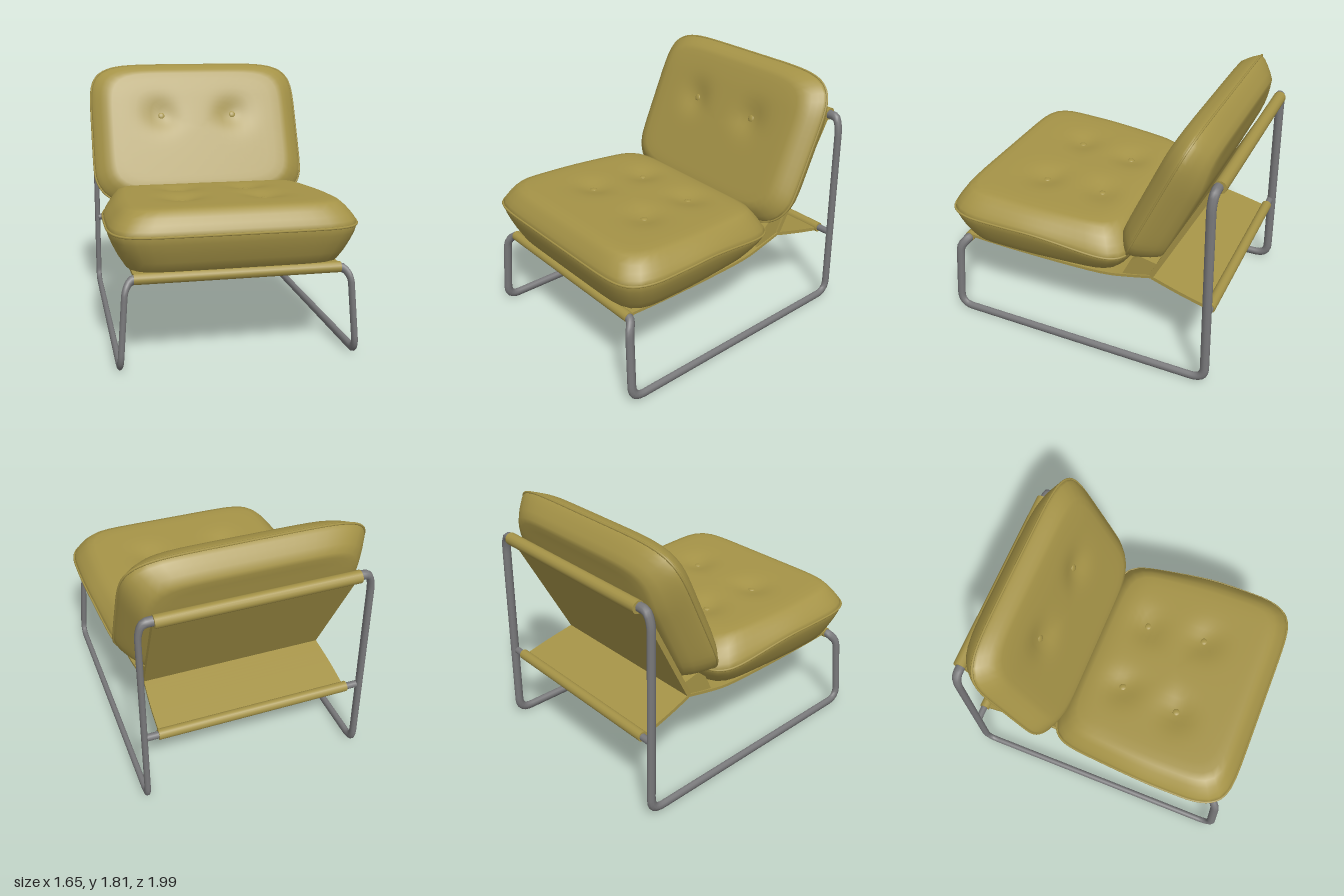
import * as THREE from 'three';

const V = (x, y, z) => new THREE.Vector3(x, y, z);

// Polyline with rounded corners
function roundedPath(pts, radius) {
  const path = new THREE.CurvePath();
  let from = pts[0];
  for (let i = 1; i < pts.length - 1; i++) {
    const p = pts[i];
    const before = pts[i - 1].clone().sub(p), after = pts[i + 1].clone().sub(p);
    const r = Math.min(radius, before.length() * 0.45, after.length() * 0.45);
    const a = p.clone().add(before.setLength(r)), b = p.clone().add(after.setLength(r));
    path.add(new THREE.LineCurve3(from, a));
    path.add(new THREE.QuadraticBezierCurve3(a, p, b));
    from = b;
  }
  path.add(new THREE.LineCurve3(from, pts[pts.length - 1]));
  return path;
}

// Tube flattened across x, so uprights and rails are oval
function ovalTube(path, segments, radius, flat) {
  const sides = 10;
  const geo = new THREE.TubeGeometry(path, segments, radius, sides);
  const pos = geo.attributes.position;
  for (let i = 0; i <= segments; i++) {
    const c = path.getPointAt(i / segments);
    for (let j = 0; j <= sides; j++) {
      const k = i * (sides + 1) + j;
      pos.setX(k, c.x + (pos.getX(k) - c.x) * flat);
    }
  }
  return geo;
}

// Sheet of cloth swept through [halfWidth, y, z] points
function clothSheet(points, thick) {
  const n = 16;
  const curve = new THREE.CatmullRomCurve3(points.map(p => V(...p)));
  const geo = new THREE.BoxGeometry(2, thick, 1, 1, 1, n);
  const pos = geo.attributes.position;
  for (let i = 0; i < pos.count; i++) {
    const t = THREE.MathUtils.clamp(0.5 - pos.getZ(i), 0, 1);
    const p = curve.getPoint(t), d = curve.getTangent(t);
    const len = Math.hypot(d.y, d.z), h = pos.getY(i);
    pos.setXYZ(i, pos.getX(i) * p.x, p.y - h * d.z / len, p.z + h * d.y / len);
  }
  geo.computeVertexNormals();
  return geo;
}

// Pillow made of rings shrinking from the seam to the middle of each face.
// Local axes: u across, v along, h outward; place() maps them to the model.
function cushion({ v0, v1, width, seam, top, bottom, tufts, place, exponent }) {
  const N = 80;
  const scales = [1, 0.985, 0.955, 0.915, 0.865, 0.81, 0.73, 0.66, 0.59, 0.52, 0.45, 0.38, 0.31, 0.24, 0.17, 0.1, 0.03];
  const rise = [0, 0.2, 0.42, 0.67, 0.92, 0.985, 1];
  const mid = (v0 + v1) / 2, half = (v1 - v0) / 2;
  const point = (j, s, f, face) => {
    const a = j / N * Math.PI * 2, c = Math.cos(a), d = Math.sin(a);
    const k = s / Math.pow(Math.abs(c) ** exponent + Math.abs(d) ** exponent, 1 / exponent);
    const v = mid + half * d * k, u = width(v) * c * k;
    let h = seam(v) + f * (face(v) - seam(v));
    if (face === top) {
      for (const [tu, tv] of tufts) {
        const r = Math.hypot(u - tu, v - tv);
        h -= 0.035 * Math.exp(-r * r / 0.014);
      }
    }
    return place(u, v, h);
  };
  const verts = [], index = [];
  // Rings run from the middle of the top, over the seam, to the middle of the bottom
  const rings = [];
  for (let i = scales.length - 1; i >= 0; i--) rings.push([scales[i], rise[i] ?? 1, top]);
  for (let i = 1; i < scales.length; i++) rings.push([scales[i], rise[i] ?? 1, bottom]);
  for (const [s, f, face] of rings)
    for (let j = 0; j < N; j++) verts.push(...point(j, s, f, face).toArray());
  for (let i = 0; i < rings.length - 1; i++)
    for (let j = 0; j < N; j++) {
      const k = (j + 1) % N, a = i * N + j, b = i * N + k, c = a + N, d = b + N;
      index.push(a, c, b, b, c, d);
    }
  const last = (rings.length - 1) * N;
  for (let j = 1; j < N - 1; j++) {
    index.push(0, j, j + 1);
    index.push(last, last + j + 1, last + j);
  }
  const body = new THREE.BufferGeometry();
  body.setAttribute('position', new THREE.Float32BufferAttribute(verts, 3));
  body.setIndex(index);
  body.computeVertexNormals();
  const edge = [];
  for (let j = 0; j < N; j++) edge.push(point(j, 1, 0, bottom));
  const piping = new THREE.TubeGeometry(new THREE.CatmullRomCurve3(edge, true), 160, 0.008, 6, true);
  const buttons = tufts.map(([u, v]) => place(u, v, top(v) - 0.035));
  return { body, piping, buttons };
}

export function createModel() {
  const model = new THREE.Group();
  model.name = 'loungeChair';
  const fabric = new THREE.MeshStandardMaterial({ color: 0xa59347 });
  fabric.name = 'olive fabric';
  const metal = new THREE.MeshStandardMaterial({ color: 0x78787a });
  metal.name = 'grey metal';
  const add = (name, geo, mat, parent = model) => {
    const mesh = new THREE.Mesh(geo, mat);
    mesh.name = name;
    parent.add(mesh);
    return mesh;
  };

  // Bent tube frame, one half per side
  for (const [side, s] of [['left', 1], ['right', -1]]) {
    const path = roundedPath([
      V(0, 0.6, 0.885), V(s * 0.69, 0.6, 0.885), V(s * 0.73, 0.54, 0.93), V(s * 0.768, 0.042, 0.952),
      V(s * 0.768, 0.042, -0.968), V(s * 0.765, 1.4, -0.935), V(s * 0.74, 1.49, -0.94), V(0, 1.49, -0.95),
    ], 0.1);
    add(side + 'Frame', ovalTube(path, 200, 0.032, 0.65), metal);
  }

  // Lower rear bar and the cloth sleeves around the bars
  const bar = (name, y, z, r, length, mat) => {
    const geo = new THREE.CylinderGeometry(r, r, length, 14).rotateZ(Math.PI / 2);
    add(name, geo, mat).position.set(0, y, z);
  };
  bar('lowerRearBar', 0.57, -0.945, 0.024, 1.52, metal);
  bar('frontSleeve', 0.6, 0.885, 0.036, 1.34, fabric);
  bar('topSleeve', 1.49, -0.95, 0.043, 1.34, fabric);
  bar('lowerRearSleeve', 0.57, -0.942, 0.036, 1.34, fabric);

  // Sling that carries the cushions
  add('seatSling', clothSheet([[0.67, 0.615, 0.87], [0.67, 0.605, 0.6], [0.66, 0.595, 0.1],
    [0.65, 0.6, -0.2], [0.64, 0.625, -0.36], [0.64, 0.665, -0.52]], 0.02), fabric);
  add('backSling', clothSheet([[0.64, 0.67, -0.515], [0.655, 1.085, -0.725], [0.67, 1.5, -0.935]], 0.035), fabric);
  add('rearSling', clothSheet([[0.64, 0.66, -0.52], [0.655, 0.61, -0.72], [0.66, 0.56, -0.92]], 0.025), fabric);

  // Folded cloth in the corner between seat and back
  const fold = new THREE.Shape([[0.3, 0.61], [0.52, 0.66], [0.57, 0.77], [0.43, 0.8], [0.36, 0.74]]
    .map(p => new THREE.Vector2(...p)));
  const foldGeo = new THREE.ExtrudeGeometry(fold, { depth: 1.26, bevelEnabled: false });
  foldGeo.translate(0, 0, -0.63).rotateY(Math.PI / 2);
  add('slingFold', foldGeo, fabric);

  // Cushions
  const { lerp, smoothstep } = THREE.MathUtils;
  const specs = {
    seatCushion: {
      v0: -0.987, v1: 0.365, exponent: 8,
      width: v => 0.815 - 0.06 * smoothstep(v, -0.5, 0.4) - 0.02 * smoothstep(-v, 0.7, 1),
      seam: v => lerp(0.88, 0.79, smoothstep(v, -0.4, 0.37)),
      top: v => 1.035 - 0.05 * (v + 0.9) - 0.02 * smoothstep(v, 0.1, 0.35),
      bottom: () => 0.615,
      tufts: [[-0.29, -0.44], [0.28, -0.44], [-0.25, -0.02], [0.25, -0.02]],
      place: (u, v, h) => V(u, h, -v),
    },
    backCushion: {
      v0: 0.862, v1: 1.985, exponent: 6,
      width: v => 0.81 - 0.03 * smoothstep(-v, -1.1, -0.88),
      seam: () => 0.01,
      top: v => 0.12 - 0.01 * smoothstep(v, 1.7, 1.95),
      bottom: v => -0.195 + 0.04 * smoothstep(v, 1.6, 1.9),
      tufts: [[-0.28, 1.54], [0.28, 1.54]],
      place: (u, v, h) => V(u, 0.912 * v + 0.41 * h, -0.41 * v + 0.912 * h),
    },
  };
  for (const [name, spec] of Object.entries(specs)) {
    const group = new THREE.Group();
    group.name = name;
    model.add(group);
    const { body, piping, buttons } = cushion(spec);
    add(name + 'Body', body, fabric, group);
    add(name + 'Piping', piping, fabric, group);
    for (const p of buttons) {
      const button = add('tuftButton', new THREE.SphereGeometry(0.026, 12, 8), fabric, group);
      button.position.copy(p);
      button.scale.y = 0.4;
      button.quaternion.setFromUnitVectors(V(0, 1, 0), spec.place(0, 0, 1).normalize());
    }
  }
  return model;
}
